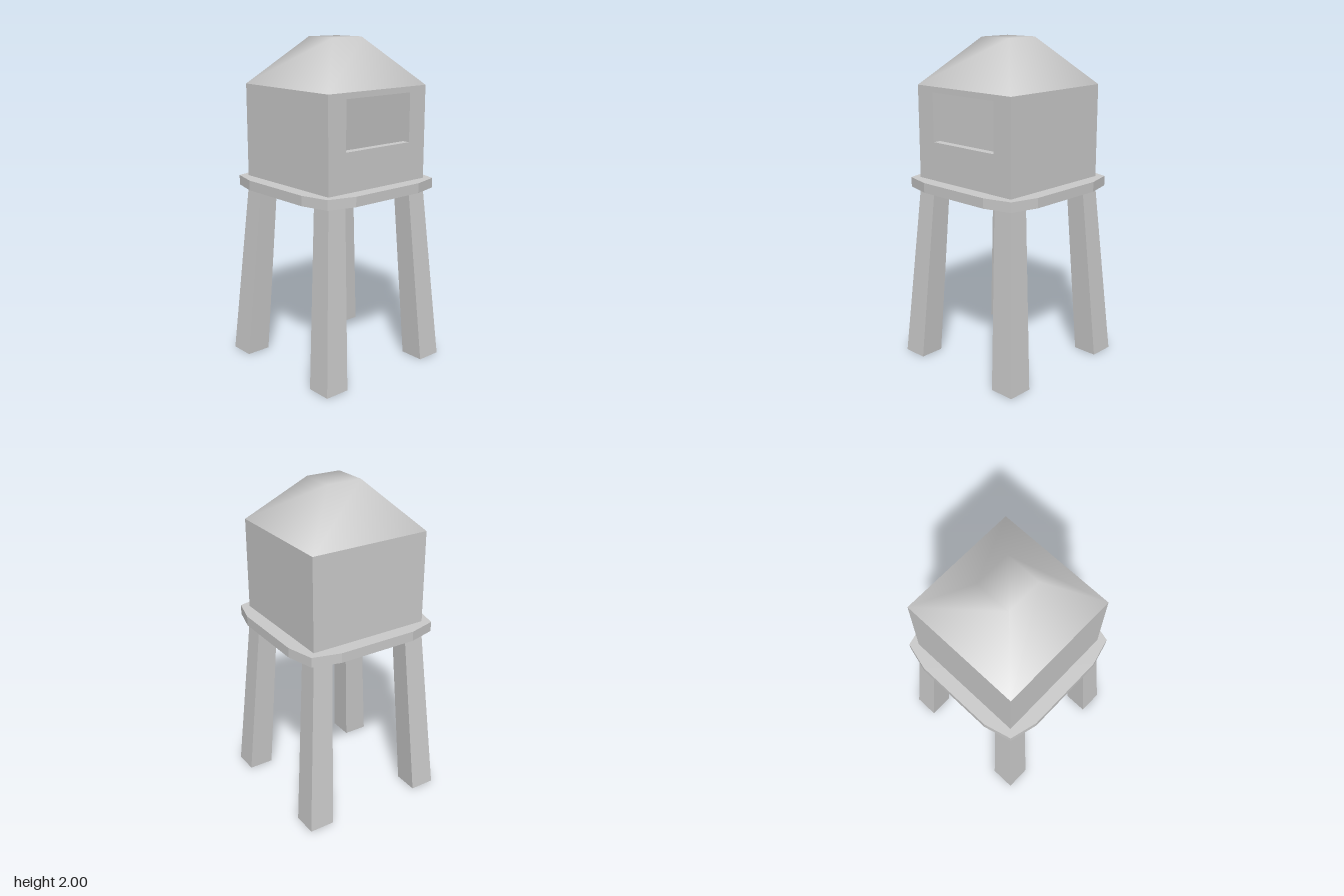
import * as THREE from 'three';
import { mergeVertices } from 'three/addons/utils/BufferGeometryUtils.js';

const HALF = 0.38;      // half width of the cabin
const WALL = 0.05;      // wall thickness
const DECK_Y = 1.155;   // top of the platform
const EAVE_Y = 1.72;
const lerp = THREE.MathUtils.lerp;

const material = new THREE.MeshStandardMaterial({ color: 0xcccccc });

function add(group, name, geometry, mat = material) {
  const mesh = new THREE.Mesh(geometry, mat);
  mesh.name = name;
  group.add(mesh);
  return mesh;
}

// Apply rule(v) to every vertex of a geometry.
function reshape(geometry, rule) {
  const pos = geometry.attributes.position;
  const v = new THREE.Vector3();
  for (let i = 0; i < pos.count; i++) {
    v.fromBufferAttribute(pos, i);
    rule(v);
    pos.setXYZ(i, v.x, v.y, v.z);
  }
  geometry.computeVertexNormals();
  return geometry;
}

function rectangle(PathType, x, y0, y1) {
  return new PathType([[-x, y0], [x, y0], [x, y1], [-x, y1]].map(p => new THREE.Vector2(...p)));
}

// Leg that tapers and leans towards the centre.
function legGeometry(sx, sz) {
  return reshape(new THREE.BoxGeometry(1, 1, 1), v => {
    const t = v.y + 0.5;
    const centre = lerp(0.3875, 0.3175, t);
    const width = lerp(0.155, 0.125, t);
    v.set(sx * centre + v.x * width, t * 1.1, sz * centre + v.z * width);
  });
}

// Wall facing +z with mitred ends, optionally pierced by a window.
function wallGeometry(hasWindow) {
  const shape = rectangle(THREE.Shape, HALF, DECK_Y, EAVE_Y);
  if (hasWindow) shape.holes.push(rectangle(THREE.Path, 0.25, 1.39, 1.685));
  const geometry = new THREE.ExtrudeGeometry(shape, { depth: WALL, bevelEnabled: false });
  return reshape(geometry, v => {
    const inner = v.z < WALL / 2;
    if (inner && Math.abs(v.x) > 0.3) v.x = Math.sign(v.x) * (HALF - WALL);
    v.z += HALF - WALL;
  });
}

// Smooth-shaded truncated pyramid, open underneath.
function roofGeometry() {
  let geometry = new THREE.BoxGeometry(1, 1, 1);
  const index = Array.from(geometry.index.array);
  index.splice(18, 6); // bottom face
  geometry.setIndex(index);
  geometry.deleteAttribute('normal');
  geometry.deleteAttribute('uv');
  geometry = mergeVertices(geometry);
  return reshape(geometry, v => {
    const top = v.y > 0;
    const half = top ? 0.11 : HALF;
    v.set(Math.sign(v.x) * half, top ? 2 : EAVE_Y, Math.sign(v.z) * half);
  });
}

export function createModel() {
  const model = new THREE.Group();
  model.name = 'watchtower';

  // Legs
  const legs = new THREE.Group();
  legs.name = 'legs';
  model.add(legs);
  for (const [sx, side] of [[1, 'Left'], [-1, 'Right']]) {
    for (const [sz, end] of [[1, 'front'], [-1, 'back']]) {
      add(legs, `${end}${side}Leg`, legGeometry(sx, sz));
    }
  }

  // Platform with softened corners
  const outline = [];
  for (let i = 0; i < 4; i++) {
    for (const [x, y] of [[0.465, -0.25], [0.465, 0.25], [0.42, 0.42]]) {
      outline.push(new THREE.Vector2(x, y).rotateAround(new THREE.Vector2(), i * Math.PI / 2));
    }
  }
  const deck = new THREE.ExtrudeGeometry(new THREE.Shape(outline), { depth: 0.06, bevelEnabled: false });
  deck.rotateX(-Math.PI / 2).translate(0, DECK_Y - 0.06, 0);
  add(model, 'platform', deck);

  // Hollow cabin, window in the left wall
  const cabin = new THREE.Group();
  cabin.name = 'cabin';
  model.add(cabin);
  ['frontWall', 'leftWindowWall', 'backWall', 'rightWall'].forEach((name, i) => {
    add(cabin, name, wallGeometry(i === 1)).rotation.y = i * Math.PI / 2;
  });
  const ceiling = new THREE.PlaneGeometry(2 * HALF, 2 * HALF);
  ceiling.rotateX(Math.PI / 2).translate(0, EAVE_Y, 0);
  add(cabin, 'ceiling', ceiling);

  // Roof
  add(model, 'roof', roofGeometry());

  return model;
}
